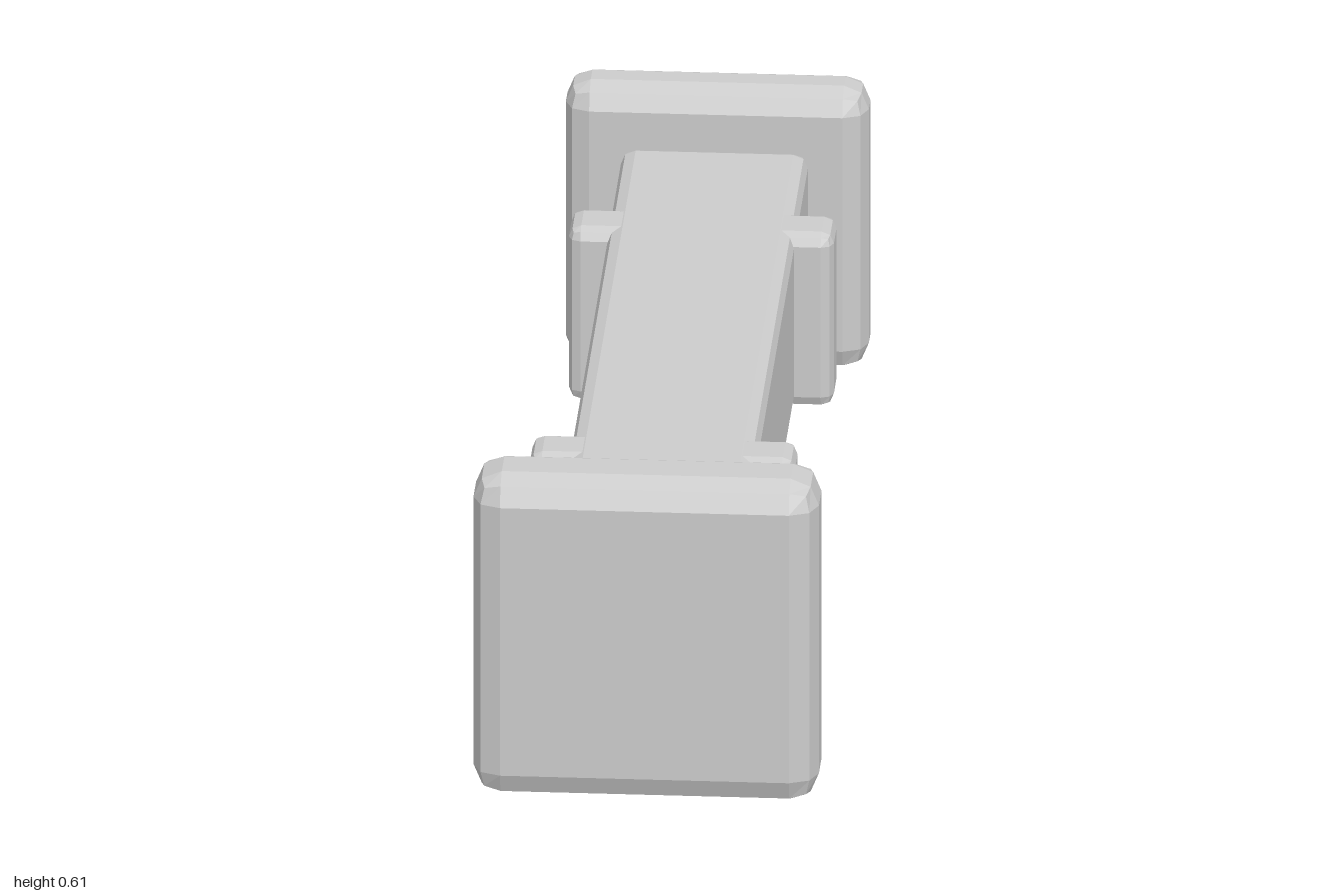
import * as THREE from 'three';
import { RoundedBoxGeometry } from 'three/addons/geometries/RoundedBoxGeometry.js';

const material = new THREE.MeshStandardMaterial({ color: 0xcccccc, flatShading: true });
const CENTRE_Y = 0.306;

// Box with a two-step bevel, spanning zBack to zFront on the common axis
function bevelledBox(name, width, height, zBack, zFront, bevel) {
  const depth = zFront - zBack;
  const mesh = new THREE.Mesh(new RoundedBoxGeometry(width, height, depth, 1, bevel), material);
  mesh.name = name;
  mesh.position.set(0, CENTRE_Y, (zBack + zFront) / 2);
  return mesh;
}

export function createModel() {
  const group = new THREE.Group();
  group.name = 'beam';

  // Square end plates, the front one larger
  group.add(bevelledBox('frontPlate', 0.61, 0.612, 0.833, 1, 0.05));
  group.add(bevelledBox('backPlate', 0.535, 0.535, -1, -0.87, 0.044));

  // Square beam between the plates
  group.add(bevelledBox('beamBody', 0.33, 0.333, -0.86, 0.828, 0.026));

  // Bands crossing the beam and standing out at both sides
  group.add(bevelledBox('frontBand', 0.468, 0.331, 0.435, 0.546, 0.022));
  group.add(bevelledBox('backBand', 0.468, 0.331, -0.584, -0.473, 0.022));

  return group;
}
